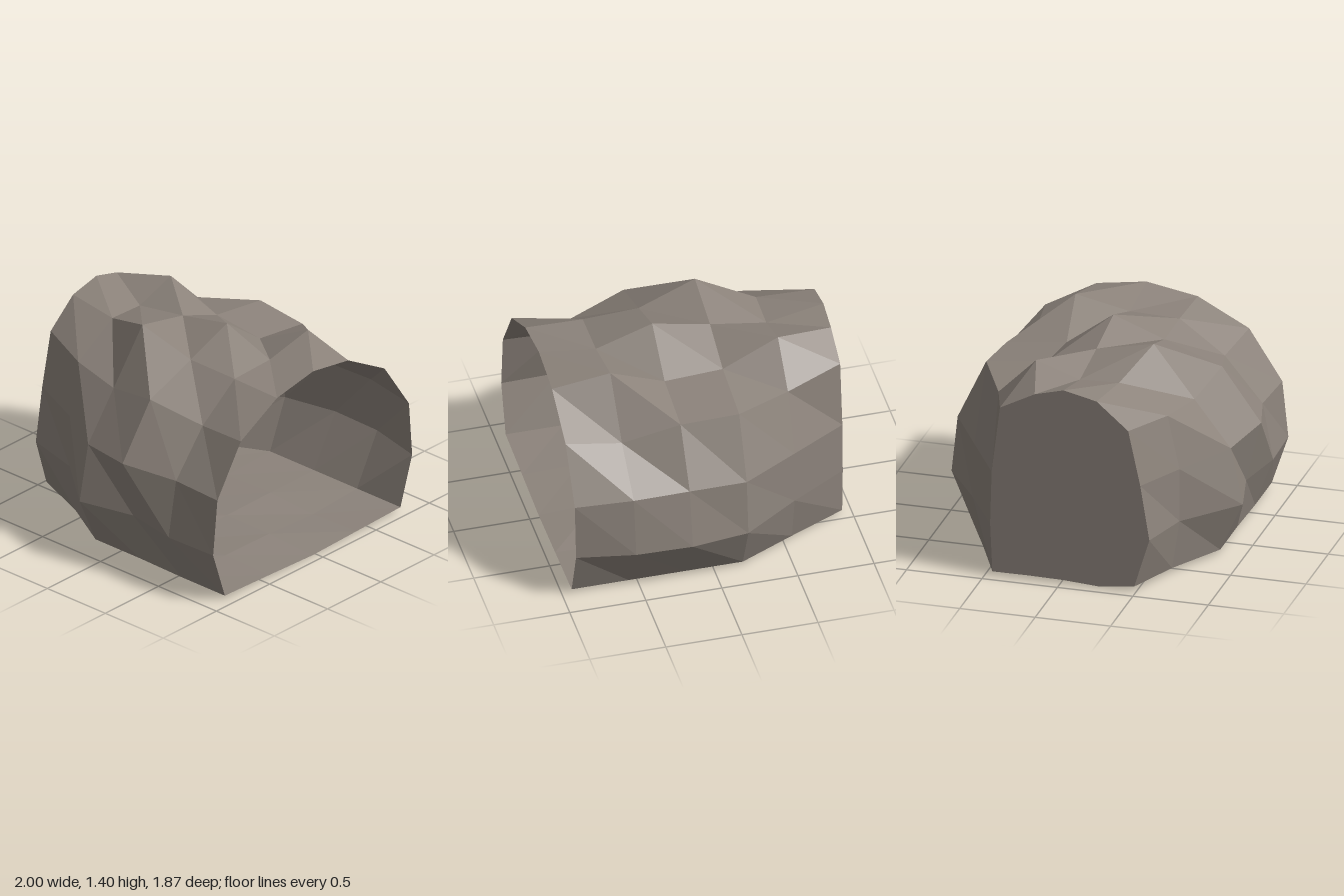
import * as THREE from 'three';

// Arch cross-sections from front to back: x,y pairs from the right foot over the crown
const RINGS = [
  { z: 0.935, p: [[-.85, .03], [-.96, .36], [-.92, .74], [-.70, 1.08], [-.36, 1.26], [-.02, 1.32], [.31, 1.27], [.65, 1.08], [.88, .74], [.91, .36], [.80, .025]] },
  { z: 0.56, p: [[-.85, .03], [-.97, .36], [-.90, .74], [-.65, 1.04], [-.35, 1.26], [-.02, 1.27], [.34, 1.345], [.63, 1.0], [.93, .76], [.99, .37], [.80, .025]] },
  { z: 0.19, p: [[-.84, .03], [-.90, .36], [-1.0, .77], [-.74, 1.13], [-.36, 1.27], [-.02, 1.40], [.29, 1.17], [.69, 1.12], [.92, .755], [1.0, .37], [.80, .025]] },
  { z: -0.19, p: [[-.84, .03], [-.99, .36], [-.91, .74], [-.67, 1.05], [-.40, 1.40], [-.02, 1.32], [.30, 1.20], [.71, 1.145], [.90, .74], [.94, .36], [.80, .025]] },
  { z: -0.56, p: [[-.63, .03], [-.68, .36], [-.68, .72], [-.60, 1.08], [-.28, 1.27], [-.02, 1.26], [.27, 1.36], [.52, 1.11], [.68, .73], [.69, .36], [.62, .025]] },
  { z: -0.935, p: [[-.49, .04], [-.59, .37], [-.53, .74], [-.45, 1.11], [-.24, 1.29], [-.02, 1.34], [.17, 1.29], [.40, 1.17], [.455, .72], [.465, .36], [.45, .03]] },
];

// Skins rows of points into a faceted sheet; the diagonals run front to back
function sheet(rows) {
  const pos = [];
  const add = (...pts) => pts.forEach((p) => pos.push(...p));
  for (let k = 0; k < rows.length - 1; k++) {
    const front = rows[k], back = rows[k + 1];
    for (let j = 0; j < front.length - 1; j++) {
      add(front[j], front[j + 1], back[j + 1]);
      add(front[j], back[j + 1], back[j]);
    }
  }
  const geo = new THREE.BufferGeometry();
  geo.setAttribute('position', new THREE.Float32BufferAttribute(pos, 3));
  geo.computeVertexNormals();
  return geo;
}

export function createModel() {
  const group = new THREE.Group();
  group.name = 'cave';
  const stone = new THREE.MeshStandardMaterial({ color: 0x8c837b, flatShading: true, side: THREE.DoubleSide });
  stone.name = 'stone';
  const add = (name, geo) => {
    const mesh = new THREE.Mesh(geo, stone);
    mesh.name = name;
    group.add(mesh);
    return mesh;
  };

  // Rocky tunnel walls and roof
  add('rockShell', sheet(RINGS.map((r) => r.p.map(([x, y]) => [x, y, r.z]))));

  // Slightly uneven floor between the two feet of each arch
  const FLOOR_STEPS = 4;
  const floorRows = RINGS.map(({ z, p }, k) => {
    const a = p[p.length - 1], b = p[0], row = [];
    for (let i = 0; i <= FLOOR_STEPS; i++) {
      const t = i / FLOOR_STEPS;
      const dip = i % FLOOR_STEPS === 0 ? 0 : 0.0135 * (1 - Math.cos(k * 2.1 + i * 1.6));
      row.push([a[0] + (b[0] - a[0]) * t, Math.max(0, a[1] + (b[1] - a[1]) * t - dip), z]);
    }
    return row;
  });
  add('floor', sheet(floorRows));

  // Flat wall closing the far end, sharing the floor's edge
  const last = RINGS[RINGS.length - 1];
  const outline = [...last.p, ...floorRows[floorRows.length - 1].slice(1, -1)];
  const wall = new THREE.ShapeGeometry(new THREE.Shape(outline.map(([x, y]) => new THREE.Vector2(x, y))));
  add('backWall', wall).position.z = last.z;

  return group;
}
